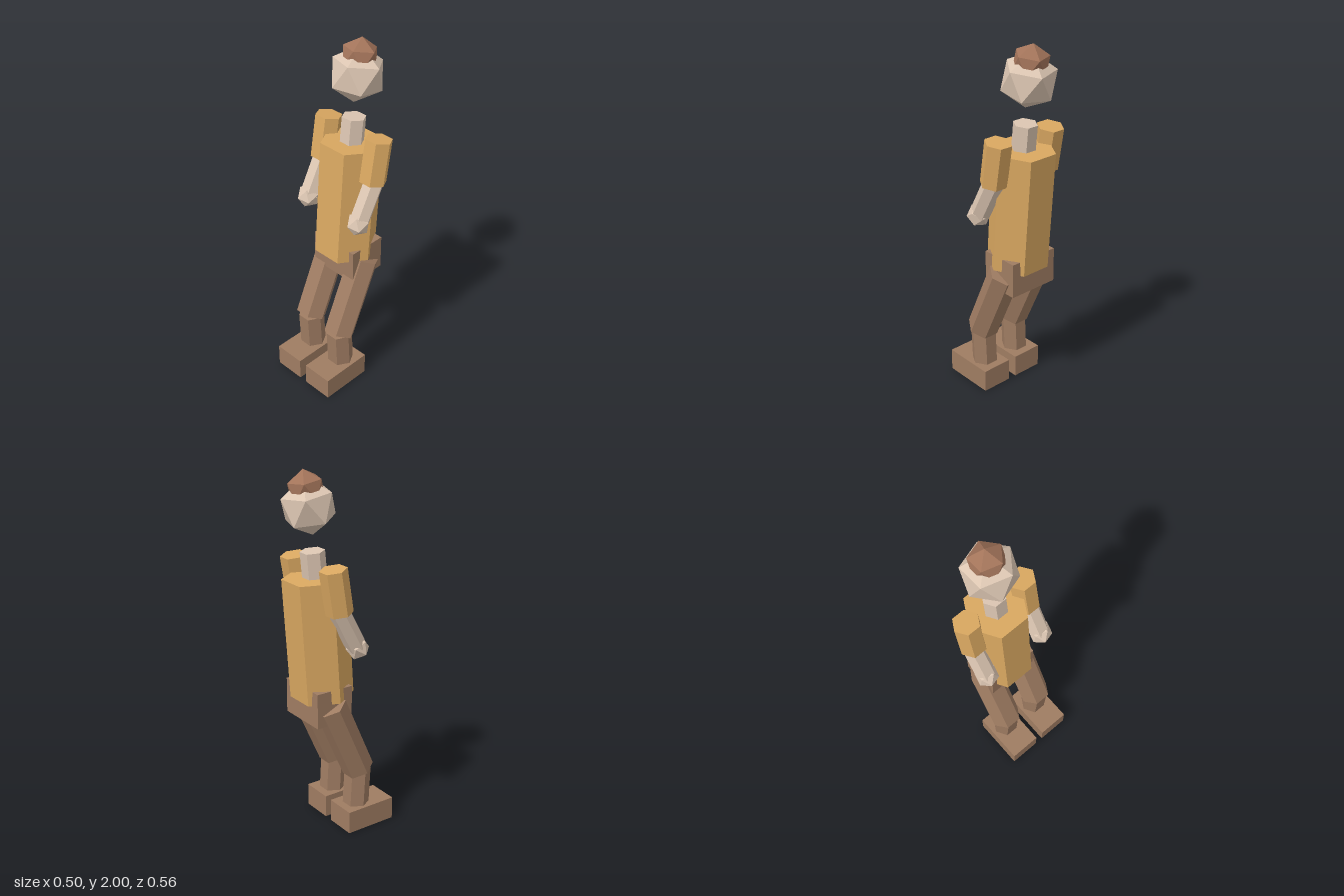
import * as THREE from 'three';

const material = (name, color) => {
  const m = new THREE.MeshStandardMaterial({ color });
  m.name = name;
  return m;
};

export function createModel() {
  const shirt = material('shirtTan', 0xdaa861);
  const skin = material('skin', 0xdcc6b2);
  const trousers = material('trouserBrown', 0x9f7c62);
  const hairBrown = material('hairBrown', 0xa3745a);

  const model = new THREE.Group();
  model.name = 'figure';

  const add = (name, geometry, mat, [x, y, z], tilt = 0, parent = model) => {
    const mesh = new THREE.Mesh(geometry, mat);
    mesh.name = name;
    mesh.position.set(x, y, z);
    mesh.rotation.x = tilt;
    parent.add(mesh);
    return mesh;
  };

  // Faceted hexagonal prism with corners at +-x, running between two [y, z] ends
  const limb = (name, mat, x, radius, [y0, z0], [y1, z1], parent) => {
    const dy = y0 - y1, dz = z0 - z1;
    const g = new THREE.CylinderGeometry(radius, radius, Math.hypot(dy, dz), 6)
      .rotateY(Math.PI / 6).toNonIndexed();
    g.computeVertexNormals();
    return add(name, g, mat, [x, (y0 + y1) / 2, (z0 + z1) / 2], Math.atan2(dz, dy), parent);
  };

  // Icosahedron standing on a corner
  const gem = (radius) =>
    new THREE.IcosahedronGeometry(radius, 0).rotateZ(-Math.atan(2 / (1 + Math.sqrt(5))));

  // Trunk
  add('pelvis', new THREE.BoxGeometry(0.294, 0.195, 0.22), trousers, [0, 0.757, -0.08]);
  limb('torso', shirt, 0, 0.17, [1.443, -0.106], [0.782, -0.06]);
  limb('neck', skin, 0, 0.065, [1.58, -0.117], [1.41, -0.1]);

  // Head and hair
  add('head', gem(0.15), skin, [0, 1.81, -0.139], -0.17);
  add('hair', gem(0.1), hairBrown, [0, 1.9, -0.153], -0.17);

  for (const [side, s] of [['left', 1], ['right', -1]]) {
    // Arm
    const arm = new THREE.Group();
    arm.name = `${side}Arm`;
    limb('upperArm', shirt, s * 0.178, 0.073, [1.522, -0.114], [1.286, -0.075], arm);
    limb('forearm', skin, s * 0.184, 0.055, [1.3, -0.085], [1.085, 0.03], arm);
    add('hand', gem(0.065), skin, [s * 0.185, 1.08, 0.035], -0.49, arm);

    // Leg
    const leg = new THREE.Group();
    leg.name = `${side}Leg`;
    limb('thigh', trousers, s * 0.113, 0.088, [0.755, -0.087], [0.335, 0.101], leg);
    limb('shin', trousers, s * 0.112, 0.073, [0.335, 0.1], [0.11, 0.088], leg);
    add('foot', new THREE.BoxGeometry(0.178, 0.128, 0.3), trousers, [s * 0.113, 0.064, 0.13], 0, leg);
    model.add(arm, leg);
  }
  return model;
}
